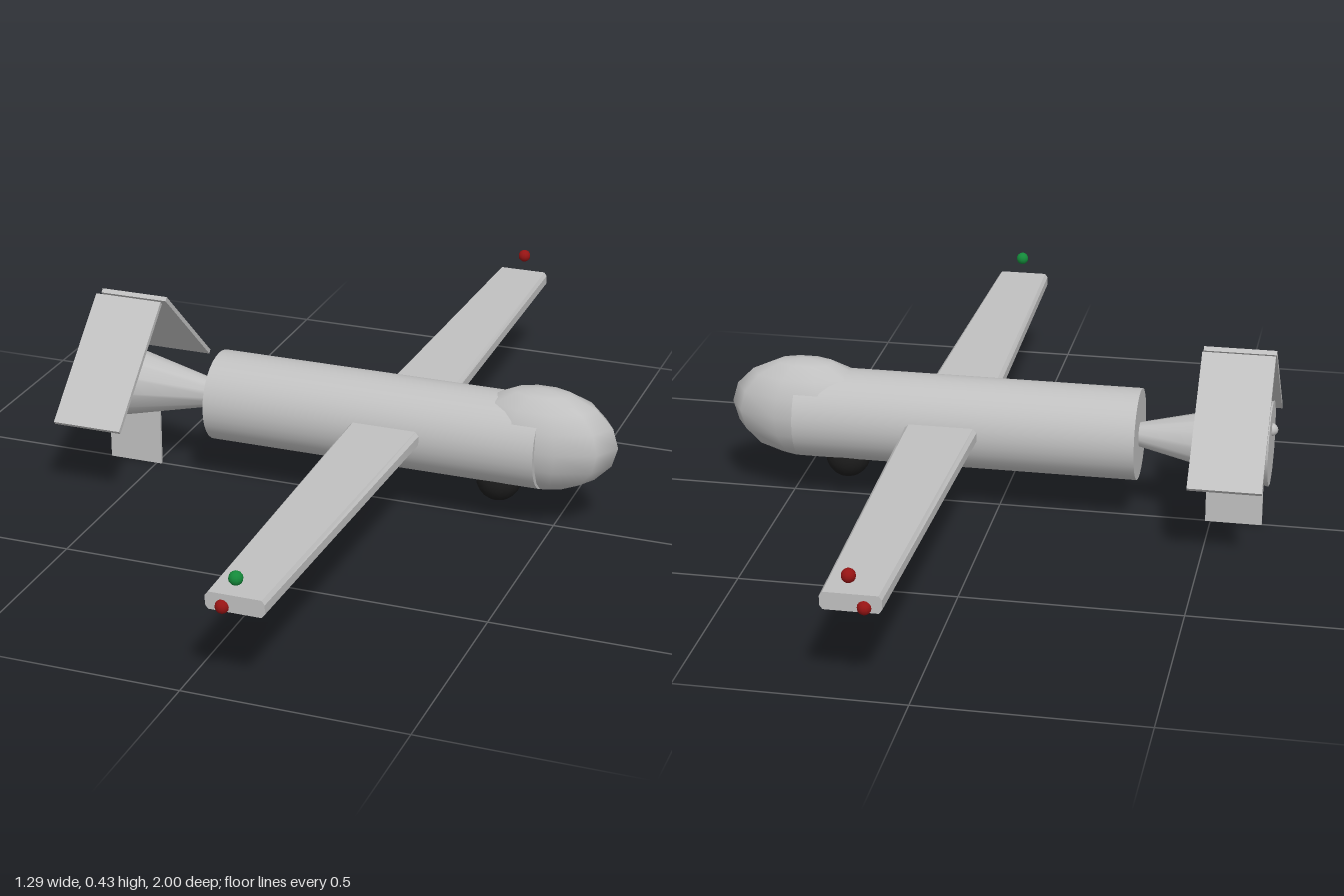
import * as THREE from 'three';

const paint = (name, color) => {
  const m = new THREE.MeshStandardMaterial({ color });
  m.name = name;
  return m;
};

export function createModel() {
  const model = new THREE.Group();
  const grey = paint('airframeGrey', 0xc0c0c0);
  const black = paint('sensorBlack', 0x1c1c1c);
  const red = paint('lightRed', 0x961414);
  const green = paint('lightGreen', 0x148a3a);

  const add = (name, geometry, material, x, y, z) => {
    const mesh = new THREE.Mesh(geometry, material);
    mesh.name = name;
    mesh.position.set(x, y, z);
    model.add(mesh);
    return mesh;
  };

  // Fuselage tube, lying along x
  add('fuselage', new THREE.CylinderGeometry(0.107, 0.107, 0.805, 32).rotateZ(-Math.PI / 2),
    grey, 0.0725, 0.21, 0);

  // Bulbous nose, taller than it is wide
  add('nose', new THREE.SphereGeometry(1, 10, 8).scale(0.18, 0.122, 0.098), grey, 0.465, 0.222, 0);

  // Sensor ball under the nose
  add('sensorBall', new THREE.SphereGeometry(0.053, 16, 12), black, 0.366, 0.105, 0);

  // Tail cone widening to the rear, with a small hub
  add('tailCone', new THREE.CylinderGeometry(0.1, 0.024, 0.325, 12).rotateZ(Math.PI / 2),
    grey, -0.4725, 0.21, 0);
  add('tailHub', new THREE.SphereGeometry(0.015, 10, 8), grey, -0.634, 0.245, 0);

  // Ventral fin
  add('ventralFin', new THREE.BoxGeometry(0.132, 0.2, 0.008), grey, -0.554, 0.104, 0);

  // Tapered wing half with chamfered edges
  const h = 0.0195, c = 0.009, root = 0.087, tip = 0.065, span = 0.986;
  const section = new THREE.Shape([
    [-root, -h + c], [-root + c, -h], [root - c, -h], [root, -h + c],
    [root, h - c], [root - c, h], [-root + c, h], [-root, h - c],
  ].map(([x, y]) => new THREE.Vector2(x, y)));
  const wing = new THREE.ExtrudeGeometry(section, { depth: span, bevelEnabled: false });
  const p = wing.attributes.position;
  for (let i = 0; i < p.count; i++) {
    p.setX(i, p.getX(i) * (1 + (tip / root - 1) * p.getZ(i) / span));
  }
  wing.computeVertexNormals();

  // Mirrored parts: wings, slanted tail planes and tip lights
  const lamp = new THREE.SphereGeometry(0.0155, 12, 8);
  for (const side of [1, -1]) {
    const label = side > 0 ? 'left' : 'right';
    add(label + 'Wing', wing, grey, 0.12, 0.217, 0).rotation.y = side > 0 ? 0 : Math.PI;
    add(label + 'TailPlane', new THREE.BoxGeometry(0.167, 0.011, 0.34), grey,
      -0.554, 0.312, side * 0.139).rotation.x = side * 0.745;
    add(label + 'UpperLight', lamp, side > 0 ? green : red, 0.123, 0.277, side * 0.9845);
    add(label + 'LowerLight', lamp, red, 0.092, 0.208, side * 0.9845);
  }
  return model;
}
